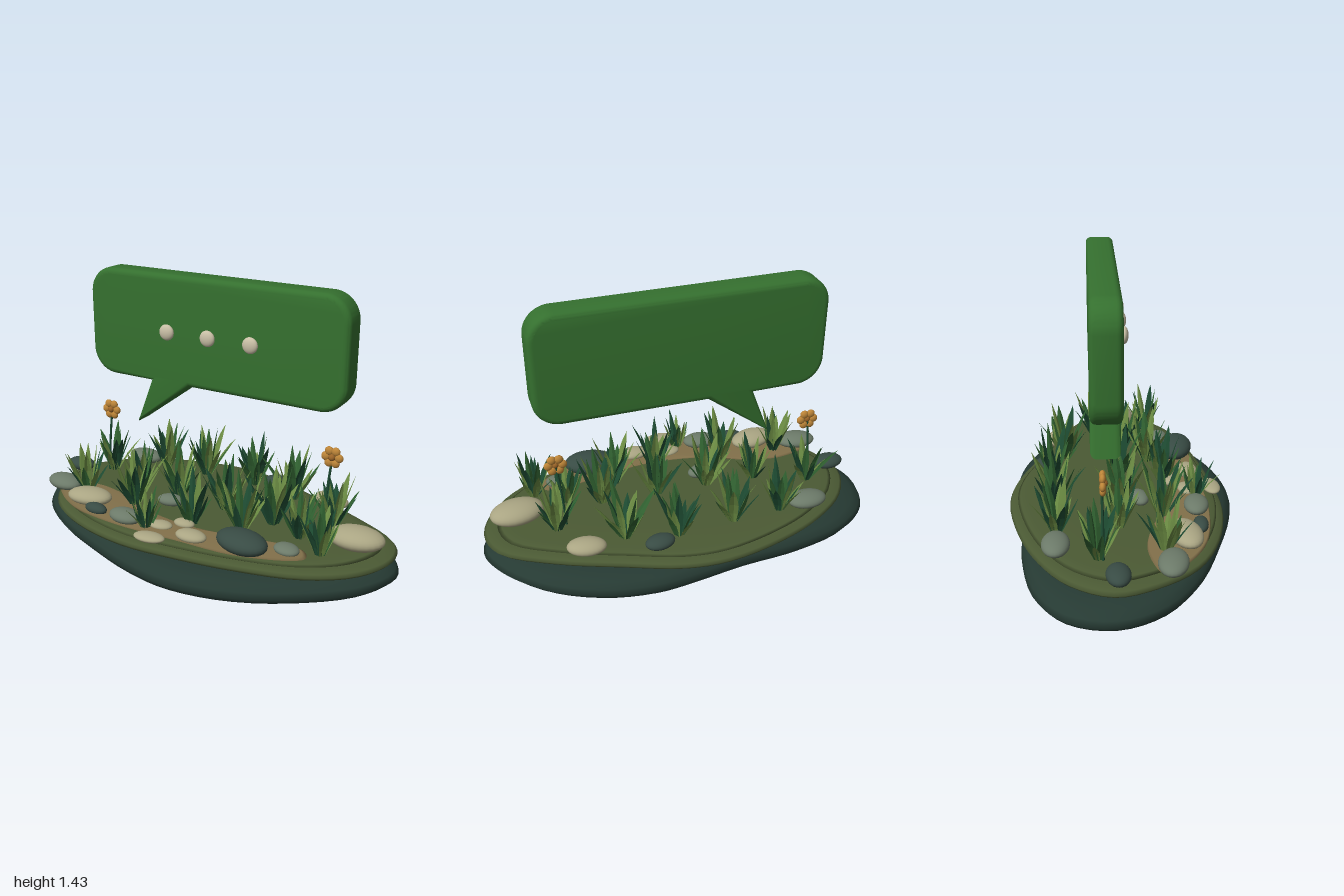
import * as THREE from 'three';
import { mergeGeometries, mergeVertices, toCreasedNormals } from 'three/addons/utils/BufferGeometryUtils.js';

const mat = (color, extra = {}) => {
  const m = new THREE.MeshStandardMaterial(extra);
  m.color.set(color);
  return m;
};
const STONES = { light: mat(0xaaa583), mid: mat(0x6c7a69), dark: mat(0x384b44) };
const GREENS = [0x1d4a31, 0x2f5f2f, 0x6a8a42].map(c => mat(c, { flatShading: true, side: THREE.DoubleSide }));

let seed = 7;
const rand = (a, b) => {
  seed = (seed * 16807) % 2147483647;
  return a + (b - a) * seed / 2147483647;
};

function add(parent, name, geometry, material, x = 0, y = 0, z = 0) {
  const mesh = new THREE.Mesh(geometry, material);
  mesh.name = name;
  mesh.position.set(x, y, z);
  parent.add(mesh);
  return mesh;
}

// Stacks scaled copies of a closed [x, z] outline at the [scale, y] steps of a profile
function slab(outline, profile, cx = 0, cz = 0, n = 72) {
  const curve = new THREE.CatmullRomCurve3(outline.map(([x, z]) => new THREE.Vector3(x, 0, z)), true);
  const pos = [], index = [];
  profile.forEach(([s, y], j) => {
    for (let i = 0; i < n; i++) {
      const p = curve.getPoint(i / n);
      pos.push(cx + (p.x - cx) * s, y, cz + (p.z - cz) * s);
      if (j === 0) continue;
      const k = (i + 1) % n, a = (j - 1) * n + i, b = (j - 1) * n + k;
      index.push(a, a + n, b, b, a + n, b + n);
    }
  });
  const g = new THREE.BufferGeometry();
  g.setAttribute('position', new THREE.Float32BufferAttribute(pos, 3));
  g.setIndex(index);
  g.computeVertexNormals();
  return g;
}

// Pointed, folded leaf that bends outward along its length
function blade(length, width, lean, bend, turn) {
  const pos = [], index = [], rows = [[0, 0.5], [0.25, 0.85], [0.5, 1], [0.78, 0.6], [1, 0.02]];
  let r = 0.015, y = 0, last = 0;
  rows.forEach(([t, w], j) => {
    const angle = lean + bend * t;
    r += Math.sin(angle) * (t - last) * length;
    y += Math.cos(angle) * (t - last) * length;
    last = t;
    const h = w * width / 2;
    pos.push(-h, y + h * 0.15, r + h * 0.4, 0, y, r, h, y + h * 0.15, r + h * 0.4);
    if (j) for (const k of [0, 1]) {
      const a = (j - 1) * 3 + k;
      index.push(a, a + 1, a + 3, a + 1, a + 4, a + 3);
    }
  });
  const g = new THREE.BufferGeometry();
  g.setAttribute('position', new THREE.Float32BufferAttribute(pos, 3));
  g.setIndex(index);
  g.computeVertexNormals();
  return g.rotateY(turn);
}

function grassClump(x, z, size) {
  const clump = new THREE.Group();
  clump.name = 'grassClump';
  clump.position.set(x, 0.27, z);
  const tones = [[], [], []], count = 15;
  for (let i = 0; i < count; i++) {
    const inner = i % 3 === 0;
    tones[Math.floor(rand(0, 3)) % 3].push(blade(
      size * (inner ? rand(0.28, 0.33) : rand(0.19, 0.29)), size * rand(0.035, 0.052),
      inner ? rand(0.02, 0.15) : rand(0.12, 0.4), rand(0.1, 0.45), i * 2.4 + rand(-0.3, 0.3)));
  }
  tones.forEach((t, i) => t.length && add(clump, 'blades', mergeGeometries(t), GREENS[i]));
  return clump;
}

// Ball petals around a centre on a thin bent stem
function flower(x, z) {
  const g = new THREE.Group();
  g.name = 'flower';
  const stem = new THREE.QuadraticBezierCurve3(new THREE.Vector3(x - 0.03, 0.27, z),
    new THREE.Vector3(x - 0.02, 0.48, z), new THREE.Vector3(x, 0.64, z - 0.005));
  add(g, 'stem', new THREE.TubeGeometry(stem, 10, 0.006, 6), GREENS[0]);
  const gold = mat(0xbd8538), ball = new THREE.SphereGeometry(0.022, 14, 10);
  for (let i = 0; i < 6; i++) {
    const a = i * Math.PI / 3;
    add(g, 'petal', ball, gold, x + Math.cos(a) * 0.034, 0.64 + Math.sin(a) * 0.034, z).scale.z = 0.65;
  }
  add(g, 'flowerCentre', ball, mat(0x9a6428), x, 0.64, z + 0.005).scale.set(0.8, 0.8, 0.8);
  return g;
}

// Rounded panel with a pointed tail at its lower edge
function bubbleGeometry() {
  const L = -0.705, R = 0.705, B = 0.88, T = 1.43, r = 0.13, s = new THREE.Shape();
  s.moveTo(-0.12, B);
  s.lineTo(R - r, B);
  s.absarc(R - r, B + r, r, -Math.PI / 2, 0);
  s.absarc(R - r, T - r, r, 0, Math.PI / 2);
  s.absarc(L + r, T - r, r, Math.PI / 2, Math.PI);
  s.absarc(L + r, B + r, r, Math.PI, Math.PI * 1.5);
  s.lineTo(-0.35, B);
  s.lineTo(-0.44, 0.64);
  s.closePath();
  const b = 0.028;
  let g = new THREE.ExtrudeGeometry(s, { depth: 0.14 - 2 * b, curveSegments: 10, bevelEnabled: true,
    bevelThickness: b, bevelSize: b, bevelOffset: -b, bevelSegments: 5 });
  g.deleteAttribute('uv');
  g.deleteAttribute('normal');
  g = mergeVertices(g, 1e-4);
  return toCreasedNormals(g, 0.6).translate(0, 0, -0.17 + b);
}

export function createModel() {
  const model = new THREE.Group();
  model.name = 'gardenWithSpeechBubble';

  // Rock base
  const rock = [[-1, -0.07], [-0.95, -0.28], [-0.78, -0.42], [-0.5, -0.49], [-0.2, -0.51], [0.1, -0.55], [0.26, -0.56],
    [0.5, -0.52], [0.75, -0.4], [0.93, -0.22], [1, -0.05], [0.92, 0.15], [0.7, 0.35], [0.42, 0.5], [0.12, 0.56],
    [-0.12, 0.53], [-0.4, 0.44], [-0.7, 0.31], [-0.91, 0.14]];
  add(model, 'rockBase', slab(rock, [[0.001, 0], [0.2, 0.006], [0.45, 0.02], [0.7, 0.045], [0.88, 0.078], [0.97, 0.11],
    [1, 0.14], [0.985, 0.168], [0.94, 0.192], [0.86, 0.208], [0.7, 0.215], [0.001, 0.22]], -0.05, -0.08), mat(0x263a33));

  // Moss bed with a wide lower lip and a smaller upper plate
  const moss = [[-0.91, -0.08], [-0.82, -0.27], [-0.64, -0.41], [-0.4, -0.51], [-0.1, -0.57], [0.12, -0.55], [0.4, -0.45],
    [0.7, -0.33], [0.94, -0.18], [0.985, -0.02], [0.9, 0.17], [0.7, 0.32], [0.4, 0.41], [0.1, 0.46], [-0.2, 0.48],
    [-0.5, 0.42], [-0.72, 0.3], [-0.86, 0.1]];
  const green = mat(0x4b5a34);
  add(model, 'mossLip', slab(moss, [[0.7, 0.2], [0.93, 0.208], [0.985, 0.22], [1, 0.235], [0.985, 0.249],
    [0.93, 0.257], [0.7, 0.262], [0.001, 0.263]]), green);
  add(model, 'mossTop', slab(moss, [[0.7, 0.25], [0.9, 0.256], [0.93, 0.266], [0.91, 0.275], [0.85, 0.279],
    [0.6, 0.281], [0.001, 0.281]]), green);

  // Sandy strip along the front
  const sand = [[-0.82, 0.14], [-0.65, 0.08], [-0.48, 0.1], [-0.2, 0.21], [0.1, 0.24], [0.4, 0.19], [0.62, 0.17],
    [0.66, 0.24], [0.4, 0.36], [0.05, 0.39], [-0.3, 0.4], [-0.58, 0.35], [-0.74, 0.25]];
  add(model, 'sandStrip', slab(sand, [[0.98, 0.27], [1, 0.28], [0.97, 0.286], [0.001, 0.287]], -0.05, 0.28), mat(0x82704a));

  // Pebbles: x, z, radiusX, radiusY, radiusZ, tone
  const pebble = new THREE.SphereGeometry(1, 24, 16);
  [[-0.6, -0.33, 0.1, 0.038, 0.065, 'mid'], [0.2, -0.41, 0.075, 0.032, 0.05, 'dark'],
    [0.54, -0.34, 0.095, 0.038, 0.06, 'light'], [0.81, 0, 0.135, 0.054, 0.09, 'light'],
    [-0.85, -0.06, 0.08, 0.035, 0.055, 'dark'], [-0.77, 0.18, 0.105, 0.038, 0.068, 'mid'],
    [-0.54, 0.26, 0.12, 0.042, 0.075, 'light'], [-0.44, 0.34, 0.065, 0.028, 0.036, 'dark'],
    [-0.26, 0.34, 0.09, 0.035, 0.06, 'mid'], [-0.17, 0.07, 0.07, 0.03, 0.045, 'mid'],
    [0.37, 0.3, 0.135, 0.052, 0.088, 'dark'], [0.12, 0.34, 0.08, 0.028, 0.05, 'light'],
    [-0.05, 0.44, 0.08, 0.02, 0.045, 'light'], [0.56, 0.22, 0.065, 0.025, 0.05, 'mid'],
    [-0.07, 0.31, 0.06, 0.02, 0.04, 'light'], [0.02, 0.24, 0.055, 0.022, 0.035, 'light'],
  ].forEach(([x, z, rx, ry, rz, tone], i) => {
    const stone = add(model, 'pebble', pebble, STONES[tone], x, 0.272 + ry * 0.88, z);
    stone.scale.set(rx, ry, rz);
    stone.rotation.y = Math.sin(i * 2.3) * 0.2;
  });

  // Grass clumps: x, z, size
  [[-0.45, -0.33, 0.9], [-0.2, -0.34, 0.92], [0.09, -0.36, 0.92], [0.34, -0.3, 1], [-0.68, -0.14, 0.85],
    [-0.42, -0.04, 0.8], [-0.17, -0.02, 0.95], [0.1, -0.02, 0.95], [0.38, 0, 1], [0.64, -0.14, 0.9], [-0.63, 0.16, 0.9],
    [-0.32, 0.17, 0.95], [0.04, 0.2, 0.9], [0.28, 0.14, 0.95], [0.55, 0.06, 0.8], [0.7, 0.16, 0.85], [-0.13, 0.35, 0.68],
  ].forEach(c => model.add(grassClump(...c)));

  model.add(flower(-0.67, -0.12), flower(0.62, -0.12));

  // Floating speech bubble with three dots
  add(model, 'speechBubble', bubbleGeometry(), mat(0x35702f));
  const dot = new THREE.SphereGeometry(0.04, 24, 16);
  for (const x of [-0.23, 0, 0.23]) add(model, 'dot', dot, mat(0xc9bfa6), x, 1.153, -0.008).scale.z = 0.5;

  return model;
}
